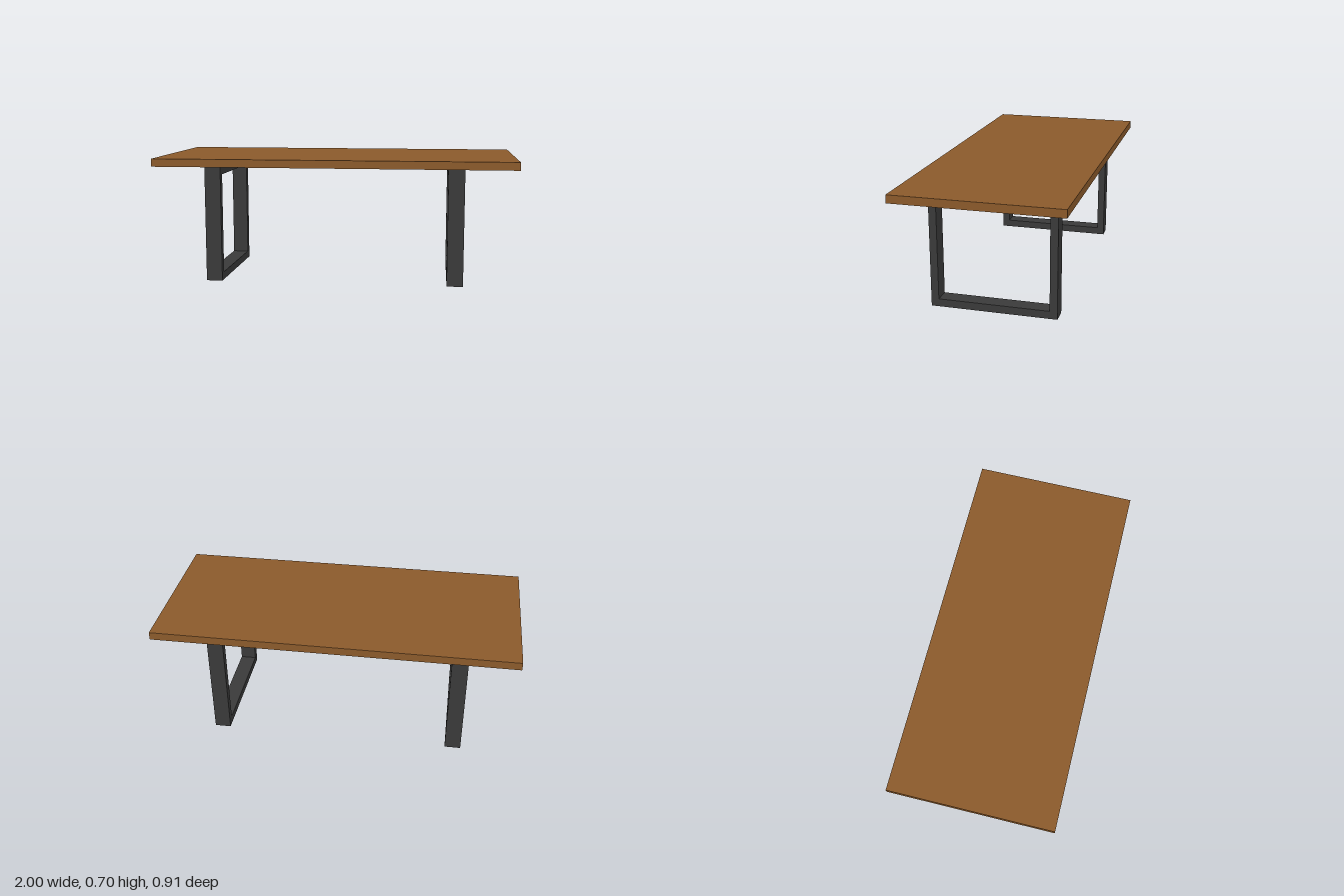
import * as THREE from 'three';

const wood = new THREE.MeshStandardMaterial({ name: 'brown wood', color: 0x8b5a2b });
const steel = new THREE.MeshStandardMaterial({ name: 'dark steel', color: 0x3a3a3a });

const FRAME_WIDTH = 0.09;

// Rectangle outline between two corners
function rectangle(path, x0, y0, x1, y1) {
  path.moveTo(x0, y0);
  path.lineTo(x1, y0);
  path.lineTo(x1, y1);
  path.lineTo(x0, y1);
  path.closePath();
  return path;
}

// Closed rectangular leg frame, extruded along x
function createLegFrame(name, x) {
  const shape = rectangle(new THREE.Shape(), -0.348, 0, 0.348, 0.656);
  shape.holes.push(rectangle(new THREE.Path(), -0.306, 0.043, 0.306, 0.604));
  const geometry = new THREE.ExtrudeGeometry(shape, { depth: FRAME_WIDTH, bevelEnabled: false });
  geometry.translate(0, 0, -FRAME_WIDTH / 2);
  geometry.rotateY(Math.PI / 2);
  const frame = new THREE.Mesh(geometry, steel);
  frame.name = name;
  frame.position.x = x;
  return frame;
}

export function createModel() {
  const table = new THREE.Group();
  table.name = 'table';

  // Flat wooden slab
  const top = new THREE.Mesh(new THREE.BoxGeometry(2, 0.044, 0.906), wood);
  top.name = 'tableTop';
  top.position.y = 0.679;
  table.add(top);

  // Two leg frames
  table.add(createLegFrame('leftLegFrame', 0.672));
  table.add(createLegFrame('rightLegFrame', -0.685));

  return table;
}
